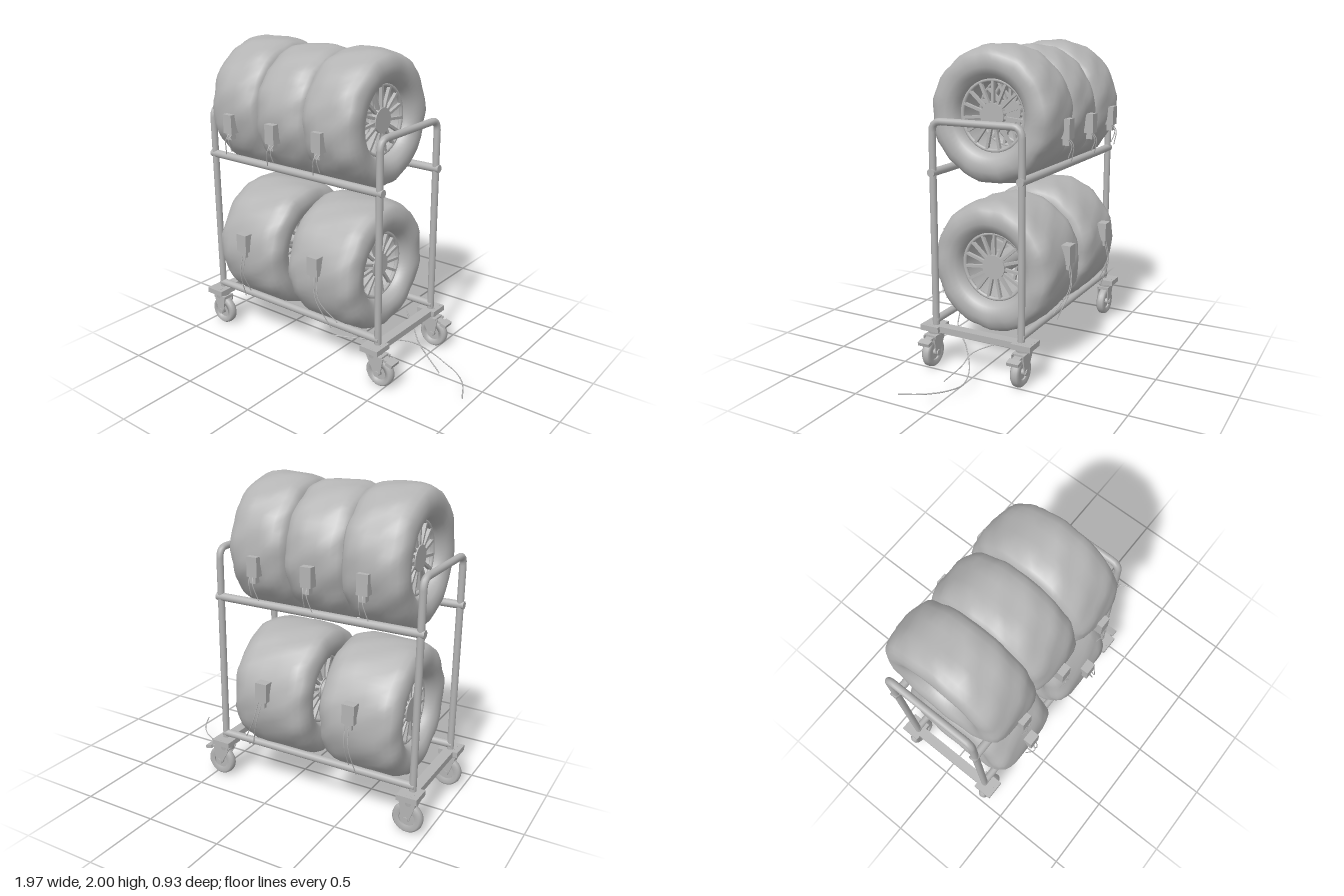
import * as THREE from 'three';
import { mergeVertices } from 'three/addons/utils/BufferGeometryUtils.js';

const V = (x, y, z) => new THREE.Vector3(x, y, z);

export function createModel() {
  const root = new THREE.Group();
  root.name = 'tireCart';
  const grey = new THREE.MeshStandardMaterial({ color: 0xb4b4b4 });
  grey.name = 'plainGrey';

  function add(geo, name, x = 0, y = 0, z = 0, parent = root) {
    const m = new THREE.Mesh(geo, grey);
    m.name = name;
    m.position.set(x, y, z);
    parent.add(m);
    return m;
  }
  const box = (w, h, d) => new THREE.BoxGeometry(w, h, d);
  const rodX = (r, len, seg = 16) => new THREE.CylinderGeometry(r, r, len, seg).rotateZ(Math.PI / 2);
  const rodZ = (r, len, seg = 20) => new THREE.CylinderGeometry(r, r, len, seg).rotateX(Math.PI / 2);
  const tube = (pts, r, seg = 24) => new THREE.TubeGeometry(new THREE.CatmullRomCurve3(pts), seg, r, 6);

  // Soft, slightly crumpled tire with an open bore, axle along x
  function tireGeometry(width, R, seed) {
    const h = width / 2;
    const half = [[0.215, 0.11], [0.225, 0.06], [0.25, 0.022], [0.29, 0.004], [0.335, 0.002],
      [R - 0.05, 0.016], [R - 0.026, 0.036], [R - 0.01, 0.075], [R - 0.002, 0.12], [R, h * 0.8]];
    const profile = half.map(([r, d]) => new THREE.Vector2(r, d - h));
    for (const [r, d] of [...half].reverse()) profile.push(new THREE.Vector2(r, h - d));
    profile.push(profile[0].clone());
    let geo = new THREE.LatheGeometry(profile, 56);
    geo.deleteAttribute('uv');
    geo.deleteAttribute('normal');
    geo = mergeVertices(geo, 1e-4);
    const p = geo.attributes.position;
    for (let i = 0; i < p.count; i++) {
      const x = p.getX(i), y = p.getY(i), z = p.getZ(i);
      const r = Math.hypot(x, z), a = Math.atan2(z, x);
      const k = THREE.MathUtils.smoothstep(r, 0.25, 0.38);
      const n = Math.sin(7 * a + seed + 14 * y) + Math.sin(13 * a - 23 * y + seed * 2) + 0.7 * Math.sin(19 * a + 31 * y);
      const s = 1 + k * 0.0075 * n / r * 0.42;
      p.setXYZ(i, x * s, y * (1 + k * 0.016 * Math.sin(9 * a + seed)), z * s);
    }
    geo.computeVertexNormals();
    return geo.rotateZ(-Math.PI / 2);
  }

  // Spoked rim, open between the spokes
  function addRim(parent, x) {
    const rim = new THREE.Group();
    rim.name = 'spokedRim';
    rim.position.x = x;
    parent.add(rim);
    add(new THREE.TorusGeometry(0.213, 0.013, 8, 40).rotateY(Math.PI / 2), 'rimRing', 0, 0, 0, rim);
    add(rodX(0.078, 0.035, 24), 'hub', 0, 0, 0, rim);
    for (let i = 0; i < 15; i++) {
      const spoke = box(0.022, 0.145, 0.017).translate(0, 0.142, 0).rotateX(i * Math.PI * 2 / 15);
      add(spoke, 'spoke', 0, 0, 0, rim);
    }
  }

  function addTire(x, y, width, R, seed) {
    const g = new THREE.Group();
    g.name = 'tire';
    g.position.set(x, y, 0);
    root.add(g);
    add(tireGeometry(width, R, seed), 'tireBody', 0, 0, 0, g);
    for (const s of [-1, 1]) addRim(g, s * (width / 2 - 0.09));
  }

  addTire(-0.635, 1.575, 0.4, 0.422, 1);
  addTire(-0.265, 1.57, 0.4, 0.412, 2.3);
  addTire(0.11, 1.575, 0.4, 0.42, 4);
  addTire(-0.565, 0.63, 0.52, 0.424, 5.2);
  addTire(0.04, 0.63, 0.53, 0.424, 0.4);
  add(rodX(0.07, 0.92, 24), 'lowerAxle', -0.26, 0.63, 0);

  // Buckles and loose strap tails on both sides
  const straps = [[-0.62, 1.51, 0.07], [-0.27, 1.5, 0.07], [0.09, 1.51, 0.07], [-0.55, 0.73, 0.08], [0.045, 0.73, 0.08]];
  straps.forEach(([x, y, w], i) => {
    const upper = y > 1;
    for (const s of [-1, 1]) {
      add(box(w, 0.12, 0.06), 'strapBuckle', x, y, s * 0.425);
      add(box(w * 0.55, 0.05, 0.04), 'strapClip', x, y - 0.075, s * 0.425);
      const len = upper ? 0.2 : 0.4;
      const drift = i === 4 ? 0.1 : -0.035;
      for (const e of [0, 0.025]) {
        add(tube([V(x + e, y - 0.06, s * 0.44), V(x + drift * 0.3 + e, y - len * 0.5, s * 0.462),
          V(x + drift + e * 2, y - len * (1 - e * 5), s * (upper ? 0.44 : 0.4))], 0.003), 'strapTail');
      }
    }
  });

  // End hoops with rounded upper corners
  const top = 1.55, zz = 0.3, c = 0.06;
  for (const x of [-0.907, 0.43]) {
    const path = new THREE.CurvePath();
    path.add(new THREE.LineCurve3(V(x, 0.25, zz), V(x, top - c, zz)));
    path.add(new THREE.QuadraticBezierCurve3(V(x, top - c, zz), V(x, top, zz - 0.005), V(x, top, zz - c)));
    path.add(new THREE.LineCurve3(V(x, top, zz - c), V(x, top, c - zz)));
    path.add(new THREE.QuadraticBezierCurve3(V(x, top, c - zz), V(x, top, 0.005 - zz), V(x, top - c, -zz)));
    path.add(new THREE.LineCurve3(V(x, top - c, -zz), V(x, 0.25, -zz)));
    add(new THREE.TubeGeometry(path, 130, 0.022, 12), 'endHoop');
    add(box(0.065, 0.04, 0.74), 'baseBar', x, 0.25, 0);
  }

  // Long rails
  for (const s of [-1, 1]) {
    add(rodX(0.025, 1.39), 'upperRail', -0.238, 1.24, s * 0.3);
    add(rodX(0.024, 1.36), 'lowerRail', -0.238, 0.3, s * 0.3);
  }

  // Swivel casters
  function addCaster(px, wx, z, brake) {
    const g = new THREE.Group();
    g.name = 'caster';
    g.position.set(0, 0, z);
    root.add(g);
    add(box(0.13, 0.035, 0.13), 'casterPlate', px, 0.252, Math.sign(z) * 0.01, g);
    add(new THREE.CylinderGeometry(0.05, 0.045, 0.045, 16), 'swivel', px, 0.215, 0, g);
    add(box(0.1, 0.02, 0.085), 'forkCrown', (px + wx) / 2, 0.203, 0, g);
    const side = new THREE.Shape([[px - 0.045, 0.21], [wx - 0.022, 0.09], [wx + 0.022, 0.09], [wx + 0.045, 0.21]]
      .map(([a, b]) => new THREE.Vector2(a, b)));
    for (const s of [-1, 1]) {
      const fork = new THREE.ExtrudeGeometry(side, { depth: 0.008, bevelEnabled: false });
      add(fork, 'forkSide', 0, 0, s * 0.037 - 0.004, g);
    }
    const tread = [[0.05, -0.022], [0.08, -0.03], [0.093, -0.018], [0.096, 0], [0.093, 0.018], [0.08, 0.03], [0.05, 0.022], [0.05, -0.022]];
    const wheel = new THREE.LatheGeometry(tread.map(([a, b]) => new THREE.Vector2(a, b)), 28).rotateX(Math.PI / 2);
    add(wheel, 'casterWheel', wx, 0.096, 0, g);
    add(rodZ(0.052, 0.024), 'casterWeb', wx, 0.096, 0, g);
    add(rodZ(0.02, 0.095, 12), 'casterAxle', wx, 0.096, 0, g);
    if (brake) {
      add(box(0.11, 0.018, 0.05), 'brakeArm', 0.49, 0.192, 0, g).rotation.z = -0.15;
      add(box(0.045, 0.022, 0.08), 'brakePedal', 0.545, 0.182, 0, g).rotation.z = -0.25;
    }
  }
  for (const s of [-1, 1]) {
    addCaster(-0.905, -0.89, s * 0.315, false);
    addCaster(0.42, 0.46, s * 0.31, true);
  }

  // Loose straps trailing to the floor at the left end
  add(tube([V(0.1, 0.23, 0.33), V(0.3, 0.22, 0.22), V(0.5, 0.19, 0.04), V(0.61, 0.11, -0.045), V(0.7, 0.06, -0.06),
    V(0.8, 0.053, -0.02), V(0.9, 0.055, 0.07), V(0.978, 0.055, 0.21)], 0.004, 50), 'trailingStrap');
  add(tube([V(0.28, 0.22, -0.24), V(0.42, 0.21, -0.11), V(0.53, 0.17, -0.01), V(0.6, 0.12, 0.01), V(0.73, 0.06, 0.06)], 0.004, 32), 'trailingStrap');

  return root;
}
